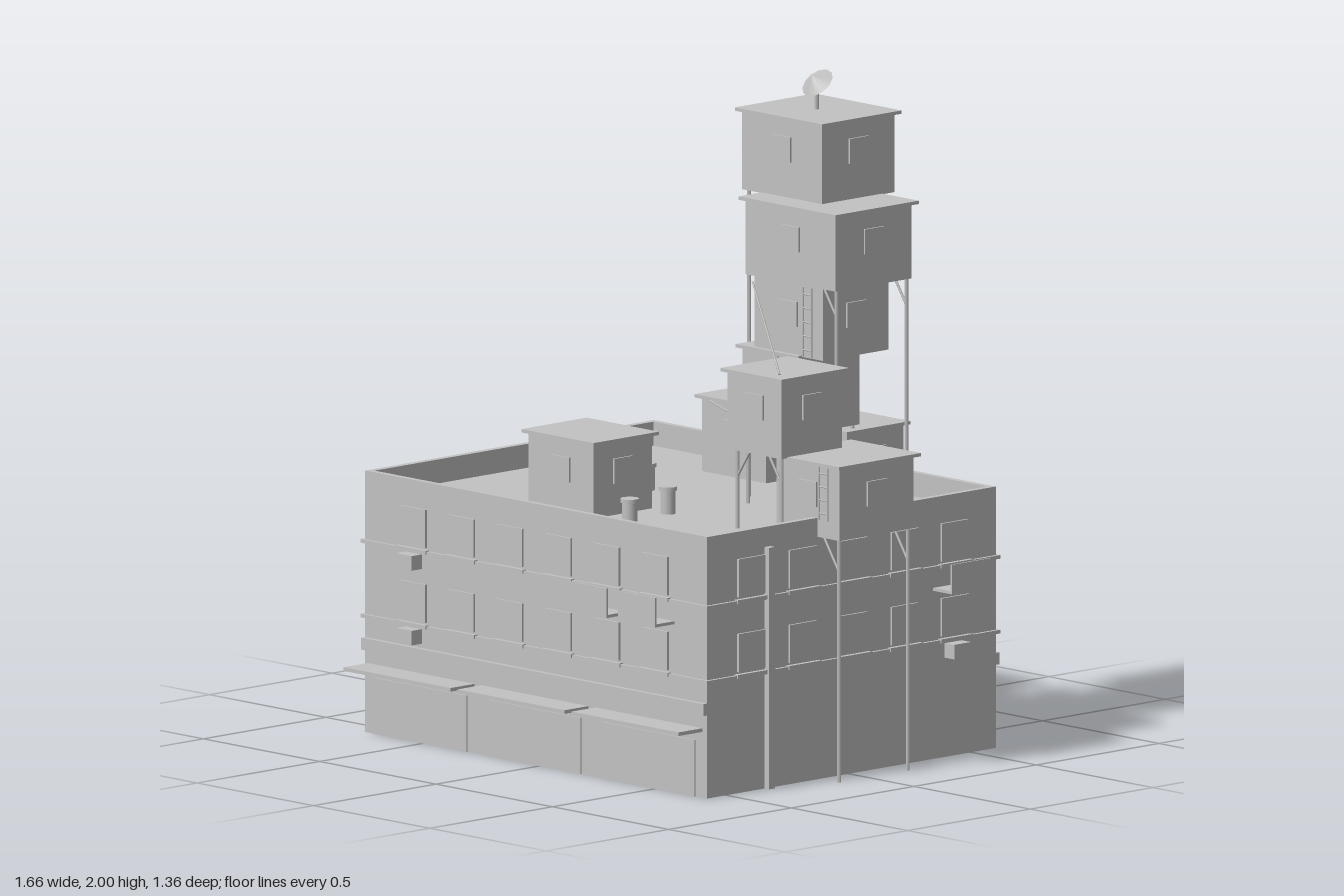
import * as THREE from 'three';

const concrete = new THREE.MeshStandardMaterial({ color: 0xc2c2c2, side: THREE.DoubleSide });
concrete.name = 'concrete grey';

export function createModel() {
  const model = new THREE.Group();
  model.name = 'stackedRooftopBuilding';

  const add = (name, geometry, parent = model) => {
    const mesh = new THREE.Mesh(geometry, concrete);
    mesh.name = name;
    parent.add(mesh);
    return mesh;
  };
  // Box given by its limits on each axis
  const box = (name, x0, x1, y0, y1, z0, z1, parent) => {
    const mesh = add(name, new THREE.BoxGeometry(x1 - x0, y1 - y0, z1 - z0), parent);
    mesh.position.set((x0 + x1) / 2, (y0 + y1) / 2, (z0 + z1) / 2);
    return mesh;
  };
  // Round bar between two points
  const bar = (name, a, b, r = 0.005, parent = model) => {
    const p = new THREE.Vector3(...a), q = new THREE.Vector3(...b);
    const mesh = add(name, new THREE.CylinderGeometry(r, r, p.distanceTo(q), 6), parent);
    mesh.position.copy(p).lerp(q, 0.5);
    mesh.quaternion.setFromUnitVectors(new THREE.Vector3(0, 1, 0), q.sub(p).normalize());
    return mesh;
  };

  // Main block with parapet
  const X0 = -0.75, X1 = 0.72, Z0 = -0.6, Z1 = 0.577, H = 0.787, ROOF = 0.715, T = 0.02;
  box('mainBlock', X0, X1, 0, ROOF, Z0, Z1);
  box('frontParapet', X0, X1, ROOF, H, Z1 - T, Z1);
  box('backParapet', X0, X1, ROOF, H, Z0, Z0 + T);
  box('rightParapet', X0, X0 + T, ROOF, H, Z0 + T, Z1 - T);
  box('leftParapet', X1 - T, X1, ROOF, H, Z0 + T, Z1 - T);

  // Floor ledges and the bands above the ground floor
  for (const y of [0.345, 0.57]) box('ledge', X0 - 0.01, X1 + 0.01, y, y + 0.011, Z0 - 0.01, Z1 + 0.01);
  box('frontBand', X0, X1, 0.25, 0.286, Z1, Z1 + 0.016);
  box('backBand', X0, X1, 0.25, 0.286, Z0 - 0.016, Z0);

  // Shop awnings and shutters
  for (const x of [-0.74, -0.25, 0.24]) {
    box('awning', x, x + 0.46, 0.198, 0.209, Z1, 0.675);
    box('shutter', x + 0.03, x + 0.43, 0, 0.17, Z1, Z1 + 0.005);
  }

  // Back doors with lamps
  for (const x of [-0.373, 0.455]) {
    box('backDoor', x - 0.06, x + 0.06, 0, 0.19, Z0 - 0.008, Z0);
    box('doorLamp', x - 0.018, x + 0.018, 0.2, 0.218, Z0 - 0.028, Z0);
  }

  // Wall frames: local +z points out of the wall, local x runs along it
  const wall = (name, x, z, turn) => {
    const g = new THREE.Group();
    g.name = name;
    g.position.set(x, 0, z);
    g.rotation.y = turn;
    model.add(g);
    return g;
  };
  const longCols = [-0.54, -0.332, -0.124, 0.084, 0.292, 0.5];
  const sideCols = [-0.43, -0.225, -0.017, 0.19, 0.4];
  const walls = [
    { g: wall('frontWall', 0, Z1, 0), s: 1, cols: longCols, ac: [[-0.54, 0], [-0.54, 1]], balcony: [0.292, 0.5] },
    { g: wall('backWall', 0, Z0, Math.PI), s: -1, cols: longCols, ac: [[-0.54, 1], [0.084, 1], [0.5, 1]], balcony: [0.292] },
    { g: wall('leftWall', X1, 0, Math.PI / 2), s: -1, cols: sideCols, ac: [[-0.425, 0]], balcony: [-0.425] },
    { g: wall('rightWall', X0, 0, -Math.PI / 2), s: 1, cols: sideCols, ac: [[0.19, 1], [-0.225, 0]], balcony: [-0.225] },
  ];
  const sills = [0.345, 0.57];
  for (const { g, s, cols, ac, balcony } of walls) {
    for (const y of sills) for (const c of cols) {
      const u = c * s;
      box('window', u - 0.055, u + 0.055, y + 0.02, y + 0.135, 0, 0.007, g);
      box('windowSill', u - 0.065, u + 0.065, y + 0.002, y + 0.014, 0, 0.014, g);
    }
    for (const [c, row] of ac) {
      const u = c * s, y = sills[row] - 0.046;
      box('airConditioner', u - 0.034, u + 0.034, y, y + 0.044, 0, 0.042, g);
    }
    for (const c of balcony) {
      const u = c * s;
      box('balconyFloor', u - 0.08, u + 0.08, 0.506, 0.515, 0, 0.08, g);
      box('balconyRail', u - 0.08, u + 0.08, 0.506, 0.595, 0.075, 0.08, g);
    }
  }

  // Drain pipe on the left wall
  box('drainPipe', X1, X1 + 0.02, 0, 0.727, 0.32, 0.344);

  // Shacks: body, thin overhanging roof, windows on every side
  const shack = (name, x0, x1, y0, y1, z0, z1, over = 0.015) => {
    const g = new THREE.Group();
    g.name = name;
    model.add(g);
    box('shackBody', x0, x1, y0, y1, z0, z1, g);
    if (over) box('shackRoof', x0 - over, x1 + over, y1 - 0.004, y1 + 0.006, z0 - over, z1 + over, g);
    const cx = (x0 + x1) / 2, cz = (z0 + z1) / 2, wy = y1 - 0.13, t = 0.006;
    for (const [z, d] of [[z0, -t], [z1, t]])
      box('shackWindow', cx - 0.04, cx + 0.04, wy, wy + 0.075, Math.min(z, z + d), Math.max(z, z + d), g);
    for (const [x, d] of [[x0, -t], [x1, t]])
      box('shackWindow', Math.min(x, x + d), Math.max(x, x + d), wy, wy + 0.075, cz - 0.04, cz + 0.04, g);
  };
  shack('frontRoofShack', -0.285, -0.005, ROOF, 0.94, 0.115, 0.352);
  shack('backRoofShack', -0.28, -0.005, 0.73, 0.955, -0.62, -0.35);
  shack('sideShack', 0.545, 0.815, 0.73, 0.95, -0.175, 0.128);
  shack('stiltShack', 0.375, 0.607, 0.953, 1.19, -0.08, 0.167);
  shack('towerBase', 0.115, 0.365, ROOF, 0.935, -0.56, -0.33);
  shack('towerFloor1', 0.12, 0.36, 0.953, 1.188, -0.385, -0.137);
  shack('towerFloor2', 0.17, 0.465, 1.19, 1.408, -0.405, -0.137, 0);
  shack('towerFloor3', 0.14, 0.527, 1.408, 1.636, -0.44, -0.13);
  shack('towerTop', 0.04, 0.385, 1.64, 1.88, -0.505, -0.21);

  // Stilts with diagonal braces pointing inward along x
  const stilts = (xs, zs, y0, y1, braceDirs, brace) => {
    xs.forEach((x, i) => {
      for (const z of zs) {
        bar('stilt', [x, y0, z], [x, y1, z], 0.006);
        bar('brace', [x, y1 - brace * 1.5, z], [x + braceDirs[i] * brace, y1, z], 0.004);
      }
    });
  };
  stilts([0.8], [0.115, -0.165], 0, 0.73, [-1], 0.065);
  stilts([0.4, 0.59], [0.15, -0.063], ROOF, 0.955, [1, -1], 0.055);
  stilts([0.13, 0.347], [-0.15, -0.37], ROOF, 0.955, [1, -1], 0.055);
  stilts([0.515], [-0.145, -0.43], ROOF, 1.41, [-1], 0.055);
  stilts([0.055], [-0.225, -0.488], ROOF, 1.64, [1], 0.065);
  for (const x of [-0.265, -0.02]) bar('shackProp', [x, 0.58, Z0 - 0.008], [x, 0.73, Z0 - 0.008], 0.005);

  // Ladders
  const ladder = (x, y0, y1, z) => {
    for (const dx of [-0.018, 0.018]) bar('ladderRail', [x + dx, y0, z], [x + dx, y1, z], 0.003);
    const n = Math.round((y1 - y0) / 0.045);
    for (let i = 0; i < n; i++) {
      const y = y0 + (i + 0.5) * (y1 - y0) / n;
      bar('ladderRung', [x - 0.018, y, z], [x + 0.018, y, z], 0.0025);
    }
  };
  ladder(0.3, 0.955, 1.185, -0.125);
  ladder(0.41, 1.195, 1.405, -0.125);
  ladder(0.755, 0.785, 0.945, 0.137);

  // Cables
  bar('upperCable', [0.17, 1.39, -0.13], [0.56, 1.197, 0.13], 0.003);
  bar('lowerCable', [-0.23, 0.95, -0.335], [0.125, 0.94, -0.18], 0.003);

  // Vent pipes on the roof
  for (const [x, z] of [[-0.61, -0.35], [-0.23, -0.08], [0.085, 0.135], [0.15, 0.352]]) {
    add('ventPipe', new THREE.CylinderGeometry(0.023, 0.023, 0.07, 12)).position.set(x, ROOF + 0.035, z);
    add('ventCap', new THREE.CylinderGeometry(0.028, 0.028, 0.012, 12)).position.set(x, 0.791, z);
  }

  // Dish and mast on the top shack
  bar('dishMast', [0.21, 1.885, -0.353], [0.21, 1.97, -0.353], 0.007);
  const dish = add('dish', new THREE.ConeGeometry(0.052, 0.035, 12, 1, true));
  dish.position.set(0.21, 1.977, -0.345);
  dish.rotation.x = 0.75;

  return model;
}
